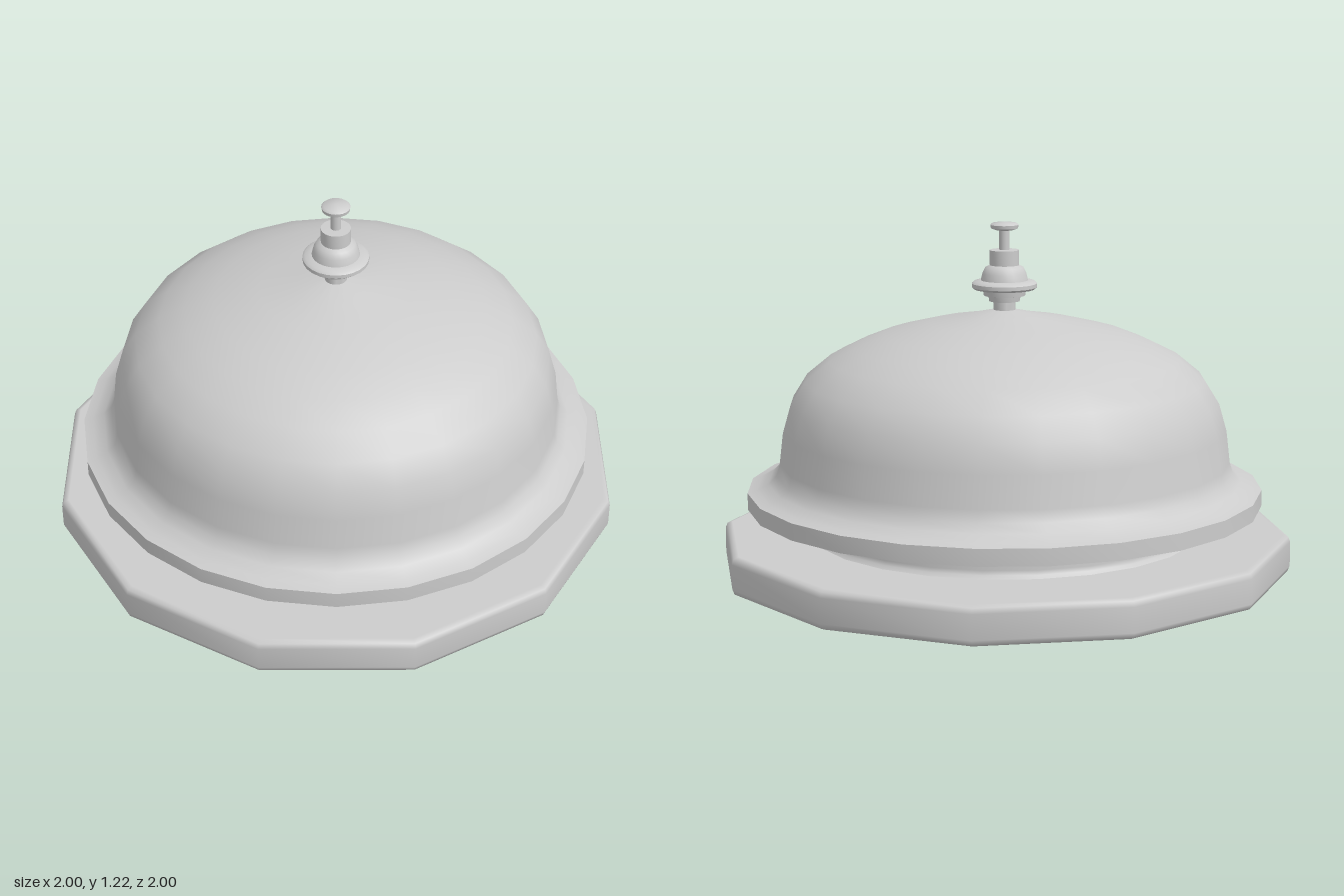
import * as THREE from 'three';
import { toCreasedNormals } from 'three/addons/utils/BufferGeometryUtils.js';

const metal = new THREE.MeshStandardMaterial({ color: 0xcccccc });
metal.name = 'grey metal';

// Turned part: profile of [radius, y] from bottom to top
function turned(name, profile, sides, crease) {
  let geometry = new THREE.LatheGeometry(profile.map(([r, y]) => new THREE.Vector2(r, y)), sides);
  if (crease) geometry = toCreasedNormals(geometry, crease);
  const mesh = new THREE.Mesh(geometry, metal);
  mesh.name = name;
  return mesh;
}

export function createModel() {
  const model = new THREE.Group();
  model.name = 'deskBell';

  // Twelve-sided foot with softened edges
  model.add(turned('base', [
    [0, 0], [0.975, 0], [0.993, 0.007], [1, 0.025],
    [1, 0.11], [0.993, 0.128], [0.975, 0.135], [0, 0.135],
  ], 12));

  // Collar between foot and bell
  model.add(turned('neck', [
    [0.685, 0.134], [0.672, 0.145], [0.667, 0.16], [0.667, 0.24],
  ], 24));

  // Bell with a flat rim and flared lip
  model.add(turned('dome', [
    [0, 0.235], [0.897, 0.235], [0.897, 0.293], [0.865, 0.301], [0.825, 0.322],
    [0.797, 0.35], [0.785, 0.39], [0.772, 0.5], [0.745, 0.595], [0.695, 0.675],
    [0.61, 0.745], [0.52, 0.79], [0.42, 0.83], [0.26, 0.87], [0.13, 0.893],
    [0.04, 0.913], [0, 0.915],
  ], 24, 0.7));

  // Stepped housing that holds the button
  model.add(turned('buttonHousing', [
    [0.038, 0.9], [0.038, 0.943], [0.053, 0.943], [0.056, 0.96], [0.072, 0.963],
    [0.075, 0.982], [0.105, 0.985], [0.113, 0.992], [0.113, 1.005], [0.105, 1.012],
    [0.082, 1.016], [0.076, 1.04], [0.066, 1.06], [0.051, 1.068], [0.051, 1.12], [0, 1.122],
  ], 24, 0.7));

  // Push pin and its cap
  model.add(turned('buttonPin', [[0.018, 1.11], [0.018, 1.2]], 16));
  model.add(turned('buttonCap', [
    [0, 1.188], [0.03, 1.189], [0.047, 1.195], [0.049, 1.207], [0.042, 1.213], [0, 1.217],
  ], 24, 0.9));

  return model;
}
